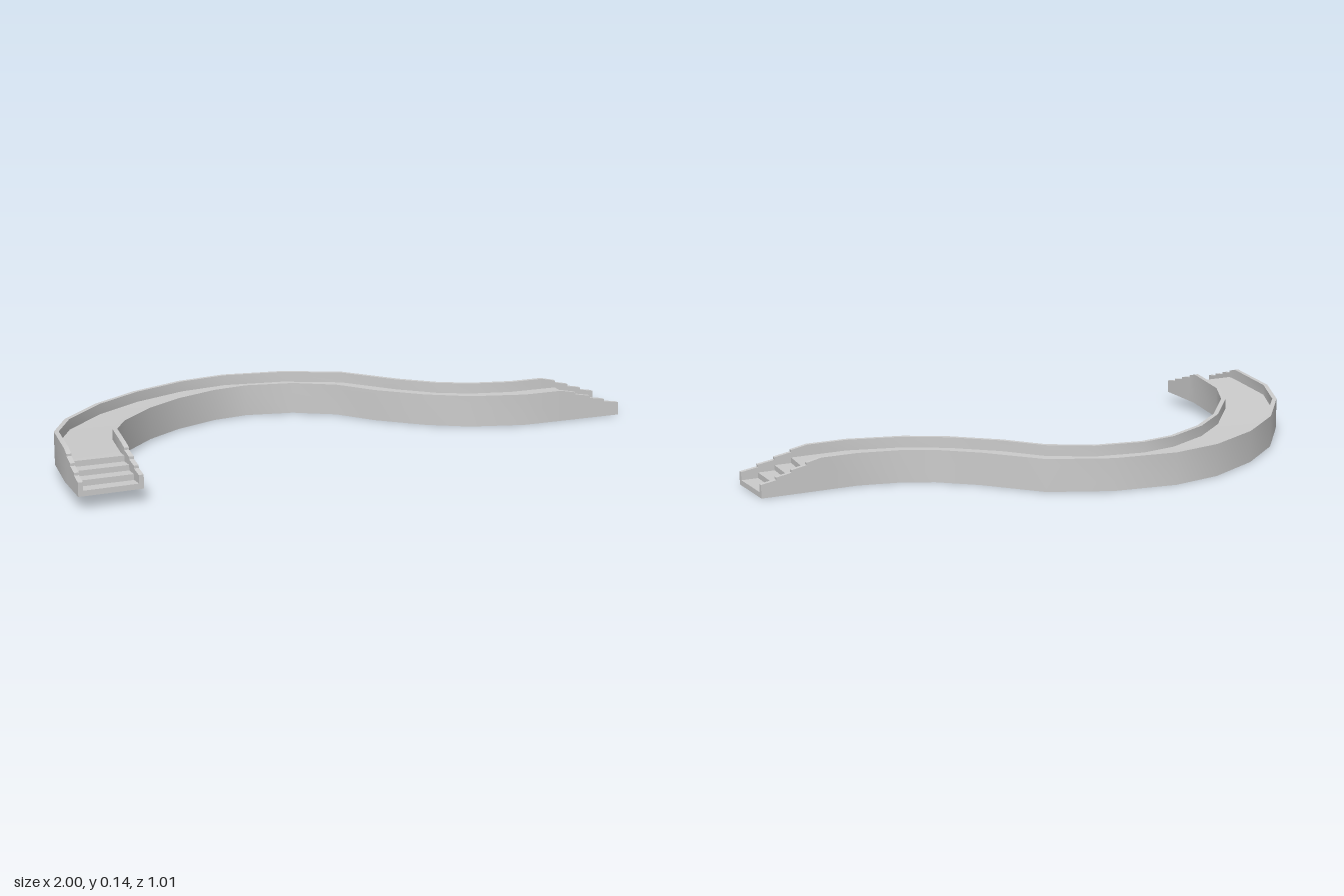
import * as THREE from 'three';
import { toCreasedNormals } from 'three/addons/utils/BufferGeometryUtils.js';

const RIM = 0.015;    // wall thickness
const FLOOR = 0.07;   // walkway height above the underside
const WALL = 0.105;   // wall height above the underside

// Plan of the path: outer x, z, inner x, z, lift of the underside
const PLAN = [
  [-1.00, 0.505, -0.80, 0.497, 0.041],
  [-0.99, 0.32, -0.80, 0.32, 0.034],
  [-0.96, 0.09, -0.77, 0.13, 0.023],
  [-0.88, -0.08, -0.71, 0.01, 0.014],
  [-0.73, -0.26, -0.58, -0.14, 0.006],
  [-0.56, -0.39, -0.45, -0.24, 0.002],
  [-0.37, -0.48, -0.30, -0.31, 0],
  [-0.20, -0.51, -0.18, -0.33, 0],
  [0.01, -0.48, -0.02, -0.30, 0],
  [0.20, -0.39, 0.11, -0.22, 0],
  [0.34, -0.22, 0.20, -0.10, 0],
  [0.45, -0.12, 0.33, 0.02, 0],
  [0.55, -0.07, 0.46, 0.10, 0],
  [0.68, -0.04, 0.64, 0.15, 0],
  [1.00, -0.04, 1.00, 0.15, 0],
];

// Steps from the end of the path inward: distance, floor height, wall height
const STEPS = [
  [0, 0.017, 0.043], [0.05, 0.017, 0.052],
  [0.05, 0.035, 0.06], [0.10, 0.035, 0.069],
  [0.10, 0.052, 0.077], [0.15, 0.052, 0.087],
  [0.15, FLOOR, 0.094], [0.20, FLOOR, WALL],
];

// Eight-point channel section between an outer and an inner plan point
function section([ox, oz, ix, iz, lift], floor, wall) {
  const t = RIM / Math.hypot(ix - ox, iz - oz);
  const at = (s, y) => new THREE.Vector3(ox + (ix - ox) * s, y + lift, oz + (iz - oz) * s);
  return [at(0, 0), at(0, wall), at(t, wall), at(t, floor),
    at(1 - t, floor), at(1 - t, wall), at(1, wall), at(1, 0)];
}

// Stepped sections from a path end toward its neighbouring plan point
function stairs(end, next) {
  const length = Math.hypot(next[0] - end[0], next[1] - end[1]);
  return STEPS.map(([d, floor, wall]) => {
    const p = end.map((v, k) => v + (next[k] - v) * Math.min(d / length, 1));
    return section(p, floor, wall);
  });
}

function loft(sections) {
  const pos = [];
  const tri = (a, b, c) => {
    const area = b.clone().sub(a).cross(c.clone().sub(a)).length();
    if (area > 1e-8) for (const p of [a, b, c]) pos.push(p.x, p.y, p.z);
  };
  const quad = (a, b, c, d) => { tri(a, b, c); tri(a, c, d); };

  // Underside, walls, rims and floor
  for (let i = 0; i < sections.length - 1; i++) {
    const a = sections[i], b = sections[i + 1];
    for (let j = 0; j < 8; j++) {
      const k = (j + 1) % 8;
      quad(a[j], a[k], b[k], b[j]);
    }
  }
  // End faces: two walls and the lowest step
  const first = sections[0], last = sections[sections.length - 1];
  for (const [a, b, c, d] of [[0, 1, 2, 3], [0, 3, 4, 7], [4, 5, 6, 7]]) {
    quad(first[d], first[c], first[b], first[a]);
    quad(last[a], last[b], last[c], last[d]);
  }
  const geometry = new THREE.BufferGeometry();
  geometry.setAttribute('position', new THREE.Float32BufferAttribute(pos, 3));
  return toCreasedNormals(geometry, 0.5);
}

export function createModel() {
  const group = new THREE.Group();
  group.name = 'curvedWalkway';
  const n = PLAN.length;
  const sections = [
    ...stairs(PLAN[0], PLAN[1]),
    ...PLAN.slice(1, n - 1).map((p) => section(p, FLOOR, WALL)),
    ...stairs(PLAN[n - 1], PLAN[n - 2]).reverse(),
  ];
  const walkway = new THREE.Mesh(loft(sections), new THREE.MeshStandardMaterial({ color: 0xcccccc }));
  walkway.name = 'walledPathWithSteps';
  group.add(walkway);
  return group;
}
